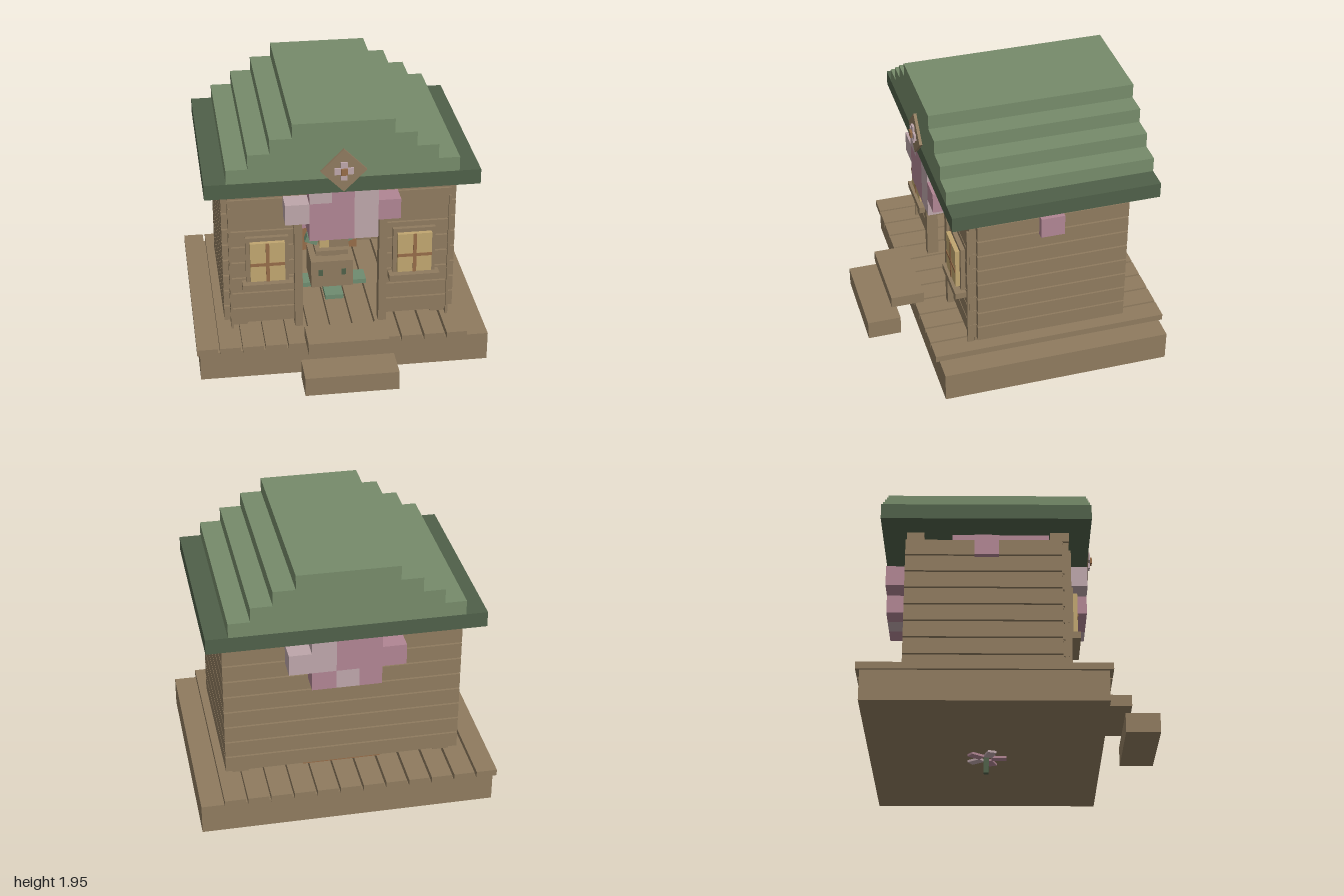
import * as THREE from 'three';

const mat = (name, color) => {
  const m = new THREE.MeshStandardMaterial({ color });
  m.name = name;
  return m;
};

export function createModel() {
  const wood = mat('wood', 0x8f7b5f);
  const darkWood = mat('russet wood', 0x966c48);
  const roofGreen = mat('roof green', 0x768b6a);
  const eaveGreen = mat('eave green', 0x4f6049);
  const leaf = mat('leaf green', 0x6f8c70);
  const pink = mat('blossom pink', 0xb08593);
  const pale = mat('pale blossom', 0xbda6aa);
  const glass = mat('warm glass', 0xc0a670);

  const model = new THREE.Group();
  model.name = 'gardenCabin';
  const group = (name) => {
    const g = new THREE.Group();
    g.name = name;
    model.add(g);
    return g;
  };
  // Box given by its limits on each axis
  const box = (parent, name, m, x0, x1, y0, y1, z0, z1) => {
    const mesh = new THREE.Mesh(new THREE.BoxGeometry(x1 - x0, y1 - y0, z1 - z0), m);
    mesh.position.set((x0 + x1) / 2, (y0 + y1) / 2, (z0 + z1) / 2);
    mesh.name = name;
    parent.add(mesh);
    return mesh;
  };

  // Platform, deck boards and steps
  const deck = group('deck');
  box(deck, 'platform', wood, -0.98, 1, 0.115, 0.32, -0.955, 0.605);
  for (let i = 0; i < 12; i++) {
    const x = -1 + i * 0.1552;
    box(deck, 'deckBoard', wood, x, x + 0.14, 0.32, 0.365, -0.98, 0.63);
  }
  box(deck, 'lowerStep', wood, -0.31, 0.32, 0.175, 0.31, 0.75, 0.98);
  box(deck, 'upperStep', wood, -0.265, 0.28, 0.38, 0.46, 0.57, 0.8);

  // Plank walls with narrow gaps
  const walls = group('walls');
  for (let i = 0; i < 8; i++) {
    const y = 0.402 + i * 0.119, t = y + 0.108;
    box(walls, 'leftPlank', wood, 0.76, 0.8, y, t, -0.67, 0.325);
    box(walls, 'rightPlank', wood, -0.79, -0.75, y, t, -0.67, 0.325);
    box(walls, 'backPlank', wood, -0.79, 0.8, y, t, -0.705, -0.668);
    if (i < 7) {
      box(walls, 'frontPlank', wood, -0.75, -0.3, y, t, 0.33, 0.37);
      box(walls, 'frontPlank', wood, 0.31, 0.76, y, t, 0.33, 0.37);
    } else box(walls, 'lintelPlank', wood, -0.75, 0.76, y - 0.025, t, 0.33, 0.37);
  }
  box(walls, 'frontBeam', wood, -0.75, 0.76, 1.355, 1.42, 0.25, 0.375);
  box(walls, 'backBeam', wood, -0.75, 0.76, 1.355, 1.42, -0.7, -0.585);

  // Corner posts, corner strips and door posts
  for (const s of [-1, 1]) {
    const a = 0.005 + s * 0.692;
    box(walls, 'frontCornerPost', wood, a - 0.055, a + 0.055, 0.365, 1.355, 0.25, 0.335);
    box(walls, 'backCornerPost', wood, a - 0.055, a + 0.055, 0.365, 1.355, -0.67, -0.585);
    const b = 0.005 + s * 0.745;
    box(walls, 'cornerStrip', wood, b - 0.008, b + 0.008, 0.365, 1.29, 0.34, 0.385);
    const c = 0.005 + s * 0.288;
    box(walls, 'doorPost', wood, c - 0.027, c + 0.027, 0.365, 1.215, 0.33, 0.41);
  }

  // Windows with frame, glass, glazing bars and sill
  for (const cx of [-0.493, 0.507]) {
    const w = group('window');
    box(w, 'frameBack', wood, cx - 0.145, cx + 0.145, 0.72, 1.07, 0.365, 0.4);
    box(w, 'pane', glass, cx - 0.117, cx + 0.117, 0.752, 1.042, 0.4, 0.43);
    box(w, 'uprightBar', darkWood, cx - 0.012, cx + 0.012, 0.752, 1.042, 0.43, 0.435);
    box(w, 'crossBar', darkWood, cx - 0.117, cx + 0.117, 0.87, 0.892, 0.43, 0.434);
    box(w, 'sill', wood, cx - 0.173, cx + 0.173, 0.69, 0.735, 0.365, 0.447);
  }

  // Stepped roof above a dark eave
  const roof = group('roof');
  box(roof, 'eave', eaveGreen, -0.905, 0.918, 1.44, 1.545, -0.865, 0.52);
  [0.767, 0.625, 0.481, 0.335].forEach((h, i) =>
    box(roof, 'roofStep', roofGreen, 0.006 - h, 0.006 + h, 1.545 + i * 0.1, 1.645 + i * 0.1, -0.865, 0.52));

  // Diamond plaque with a small flower
  const plaque = group('gablePlaque');
  const diamond = box(plaque, 'diamond', wood, -0.103, 0.113, 1.497, 1.713, 0.515, 0.54);
  diamond.rotation.z = Math.PI / 4;
  for (const [dx, dy] of [[0.041, 0], [-0.041, 0], [0, 0.041], [0, -0.041]])
    box(plaque, 'petal', pale, dx - 0.017, dx + 0.027, 1.583 + dy, 1.627 + dy, 0.535, 0.555);
  box(plaque, 'flowerCentre', darkWood, -0.017, 0.027, 1.583, 1.627, 0.535, 0.57);

  // Blossom blocks under the roof, poking out through the walls
  const blossom = group('blossom');
  const b = (m, ...d) => box(blossom, 'blossomBlock', m, ...d);
  b(pink, -0.22, 0.69, 1.361, 1.439, -0.4, 0.245);
  b(pale, -0.55, -0.22, 1.361, 1.439, -0.4, 0.245);
  b(pink, -0.68, -0.55, 1.361, 1.439, -0.4, 0.245);
  b(pale, -0.55, 0.69, 1.361, 1.439, -0.55, -0.4);
  b(pink, -0.22, 0.08, 1.085, 1.439, -0.1, 0.515);
  b(pale, 0.08, 0.24, 1.085, 1.439, 0.3, 0.515);
  b(pink, 0.24, 0.39, 1.215, 1.36, 0.37, 0.515);
  b(pale, -0.38, -0.22, 1.215, 1.36, 0.37, 0.515);
  b(pale, -0.22, -0.07, 1.361, 1.439, 0.4, 0.5155);
  b(pink, -0.25, -0.07, 0.957, 1.085, -0.43, 0.1);
  b(pale, -0.07, 0.08, 0.957, 1.085, -0.43, 0.1);
  b(pink, 0.08, 0.27, 0.957, 1.085, -0.43, 0.1);
  b(pink, -0.25, 0.27, 1.085, 1.36, -0.6, -0.1);
  b(pale, 0.08, 0.24, 1.215, 1.439, -0.86, -0.6);
  b(pink, -0.22, 0.08, 1.215, 1.439, -0.86, -0.6);
  b(pink, -0.22, -0.07, 1.085, 1.215, -0.86, -0.6);
  b(pale, -0.07, 0.08, 1.085, 1.215, -0.86, -0.6);
  b(pink, 0.08, 0.24, 1.085, 1.215, -0.86, -0.6);
  b(pale, 0.24, 0.39, 1.215, 1.36, -0.86, -0.7);
  b(pink, -0.38, -0.22, 1.215, 1.36, -0.86, -0.7);
  b(pink, 0.69, 0.845, 1.215, 1.36, -0.25, -0.09);
  b(pink, -0.83, -0.68, 1.215, 1.36, -0.25, -0.09);

  // Inner back panel and the wooden planter inside
  const inside = group('interior');
  box(inside, 'backPanel', darkWood, -0.26, 0.27, 0.365, 1.1, -0.665, -0.64);
  box(inside, 'planterTub', wood, -0.145, 0.155, 0.4, 0.605, -0.31, -0.03);
  for (const x of [-0.078, 0.088])
    box(inside, 'tubStud', eaveGreen, x - 0.016, x + 0.016, 0.495, 0.54, -0.03, -0.022);
  box(inside, 'tubNeck', wood, -0.06, 0.07, 0.605, 0.645, -0.23, -0.11);
  box(inside, 'tubShelf', wood, -0.11, 0.12, 0.645, 0.68, -0.29, -0.05);
  box(inside, 'trunk', wood, -0.01, 0.13, 0.68, 0.865, -0.24, -0.1);
  box(inside, 'paleTrunk', glass, -0.075, -0.01, 0.68, 0.865, -0.24, -0.1);
  box(inside, 'leafCollar', leaf, -0.12, 0.13, 0.865, 0.912, -0.29, -0.05);
  box(inside, 'upperTrunk', leaf, -0.075, 0.0, 0.912, 0.957, -0.24, -0.1);
  box(inside, 'amberBlock', glass, 0.12, 0.165, 0.85, 0.957, -0.24, -0.15);
  for (const s of [-1, 1]) {
    const side = box(inside, 'sideLeaf', leaf, s * 0.125 - 0.045, s * 0.125 + 0.045, 0.695, 0.75, -0.2, -0.14);
    side.rotation.z = s < 0 ? -0.35 : 0.4;
  }
  box(inside, 'groundLeaf', leaf, -0.25, 0.26, 0.366, 0.4, -0.24, -0.1);
  box(inside, 'groundLeaf', leaf, -0.06, 0.07, 0.366, 0.399, -0.39, 0.09);
  box(inside, 'fallenPetal', pink, 0.08, 0.15, 0.366, 0.412, -0.31, -0.22);

  // Stem and petals beneath the platform
  const under = group('hangingFlower');
  box(under, 'stem', eaveGreen, -0.013, 0.02, 0, 0.115, -0.187, -0.153);
  for (let i = 0; i < 5; i++) {
    const a = Math.PI / 2 + i * Math.PI * 0.4;
    const p = box(under, 'petal', i % 2 ? pale : pink, -0.05, 0.05, 0.1, 0.116, -0.03, 0.03);
    p.position.x = 0.004 + Math.cos(a) * 0.085;
    p.position.z = -0.17 + Math.sin(a) * 0.085;
    p.rotation.y = -a;
  }
  return model;
}
